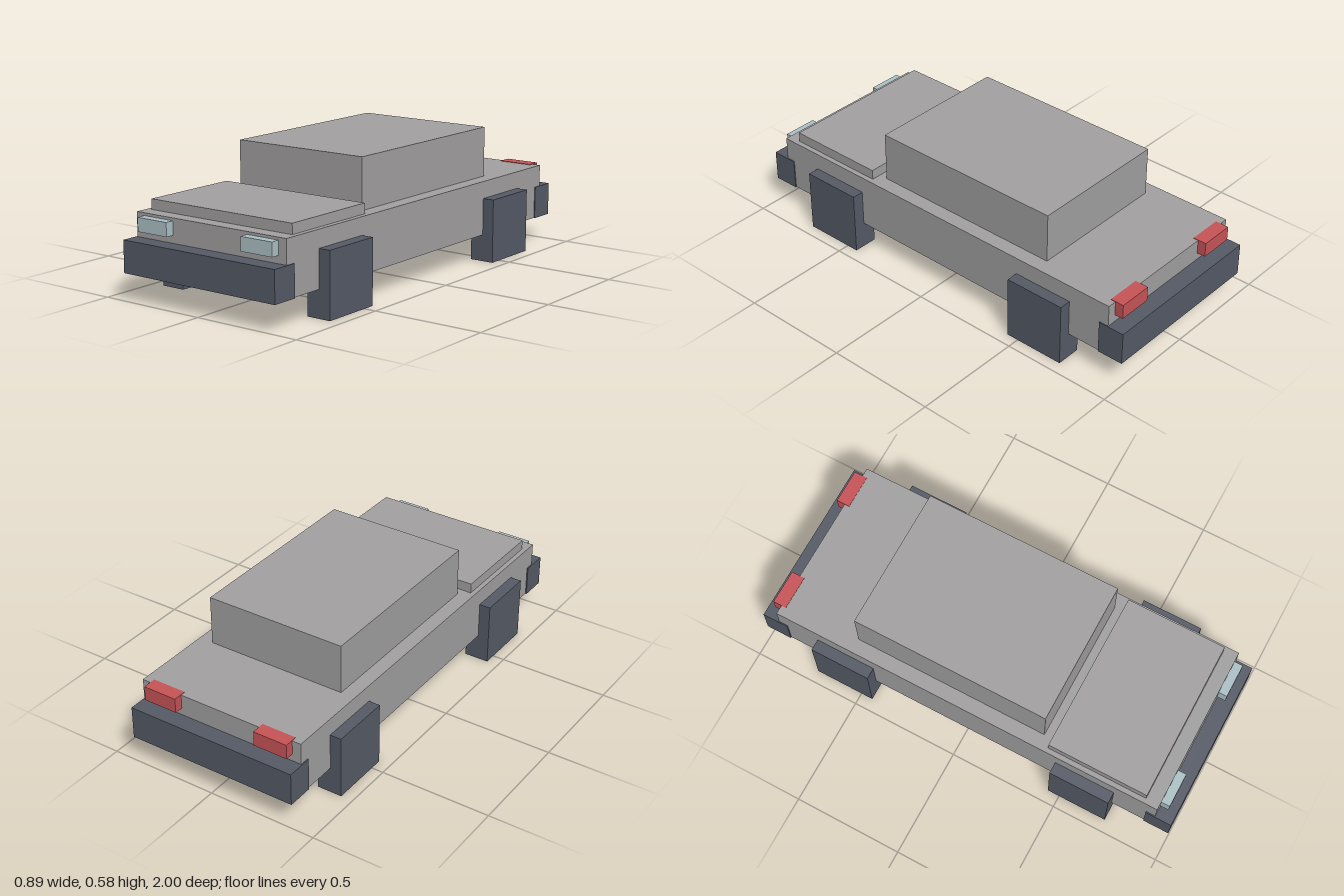
import * as THREE from 'three';

const material = (name, color) => {
  const m = new THREE.MeshStandardMaterial({ color });
  m.name = name;
  return m;
};

export function createModel() {
  const car = new THREE.Group();
  car.name = 'car';
  const paint = material('grey paint', 0xa3a1a2);
  const dark = material('dark slate', 0x555b67);
  const glass = material('pale lamp glass', 0xadc2c7);
  const red = material('red lamp glass', 0xc85458);

  // Box given by its extents along each axis
  const box = (name, mat, [x0, x1], [y0, y1], [z0, z1]) => {
    const mesh = new THREE.Mesh(new THREE.BoxGeometry(x1 - x0, y1 - y0, z1 - z0), mat);
    mesh.position.set((x0 + x1) / 2, (y0 + y1) / 2, (z0 + z1) / 2);
    mesh.name = name;
    car.add(mesh);
  };

  // Bodywork
  box('body', paint, [-0.394, 0.393], [0.12, 0.362], [-0.923, 0.923]);
  box('hood', paint, [-0.372, 0.37], [0.35, 0.407], [0.398, 0.86]);
  box('cabin', paint, [-0.328, 0.326], [0.35, 0.585], [-0.55, 0.357]);

  // Bumpers wrap the ends of the body
  box('frontBumper', dark, [-0.399, 0.397], [0.118, 0.257], [0.88, 1]);
  box('rearBumper', dark, [-0.399, 0.397], [0.118, 0.265], [-1, -0.88]);

  // Wheels and lamps, mirrored left and right
  for (const [side, s] of [['left', 1], ['right', -1]]) {
    const span = (a, b) => (s > 0 ? [a, b] : [-b, -a]);
    box(side + 'FrontWheel', dark, span(0.333, 0.446), [0, 0.285], [0.445, 0.725]);
    box(side + 'RearWheel', dark, span(0.333, 0.446), [0, 0.285], [-0.725, -0.445]);
    box(side + 'Headlight', glass, span(0.195, 0.353), [0.29, 0.35], [0.9, 0.962]);
    box(side + 'TailLight', red, span(0.195, 0.353), [0.298, 0.364], [-0.962, -0.9]);
  }
  return car;
}
